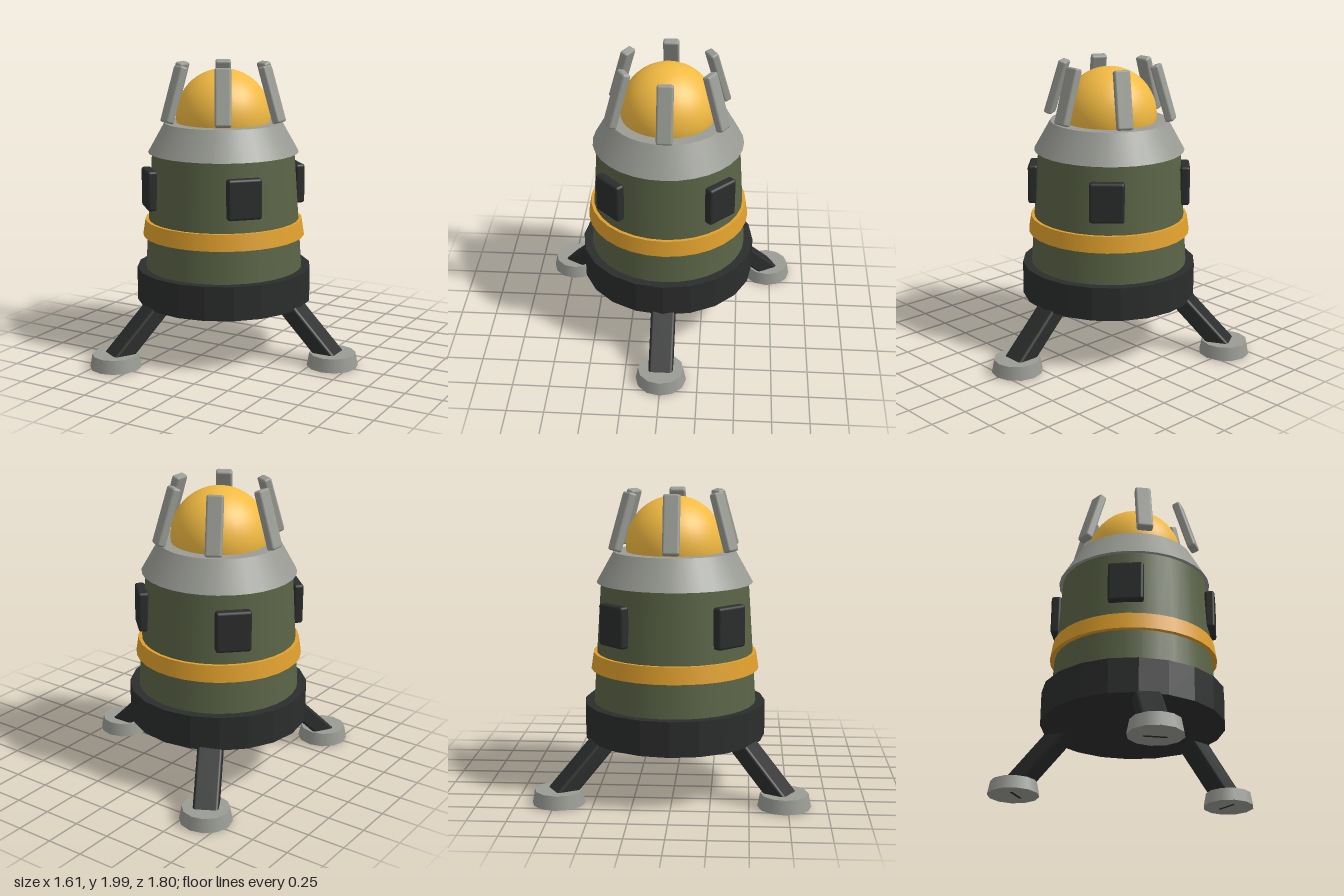
import * as THREE from 'three';
import { RoundedBoxGeometry } from 'three/addons/geometries/RoundedBoxGeometry.js';

const paint = (color, flatShading = false) => new THREE.MeshStandardMaterial({ color, flatShading });
const dark = paint(0x2b2d2c);
const darkFaceted = paint(0x2b2d2c, true);
const green = paint(0x5a6446);
const gold = paint(0xe0a02c);
const amber = paint(0xf2ba42);
const grey = paint(0x999b94);

function add(parent, name, geometry, material, x = 0, y = 0, z = 0) {
  const mesh = new THREE.Mesh(geometry, material);
  mesh.name = name;
  mesh.position.set(x, y, z);
  parent.add(mesh);
  return mesh;
}

// Truncated cone between two heights
function drum(parent, name, rBottom, rTop, y0, y1, sides, material, x = 0) {
  return add(parent, name, new THREE.CylinderGeometry(rTop, rBottom, y1 - y0, sides), material, x, (y0 + y1) / 2);
}

// Repeats a part, built along +x, evenly round the vertical axis
function around(parent, name, count, start, build) {
  for (let i = 0; i < count; i++) {
    const arm = new THREE.Group();
    arm.name = name;
    arm.rotation.y = start + (i * Math.PI * 2) / count;
    build(arm);
    parent.add(arm);
  }
}

export function createModel() {
  const model = new THREE.Group();
  model.name = 'landerPod';

  // The hull axis sits off centre so the three feet balance the footprint
  const pod = new THREE.Group();
  pod.name = 'pod';
  pod.position.x = -0.21;
  model.add(pod);

  // Stacked hull
  drum(pod, 'base', 0.6, 0.6, 0.38, 0.61, 20, darkFaceted);
  drum(pod, 'hull', 0.545, 0.485, 0.5, 1.41, 32, green);
  drum(pod, 'band', 0.555, 0.538, 0.835, 0.945, 32, gold);
  drum(pod, 'collar', 0.512, 0.4, 1.405, 1.605, 32, grey);
  add(pod, 'dome', new THREE.SphereGeometry(0.32, 32, 16, 0, Math.PI * 2, 0, Math.PI * 0.6), amber, 0, 1.645);

  // Guard fins leaning in round the dome
  const finGeometry = new RoundedBoxGeometry(0.058, 0.385, 0.108, 2, 0.015);
  around(pod, 'guardFin', 6, 0, (arm) => {
    add(arm, 'fin', finGeometry, grey, 0.373, 1.81).rotation.z = 0.3;
  });

  // Side panels on the diagonals
  const panelGeometry = new RoundedBoxGeometry(0.068, 0.27, 0.23, 2, 0.018);
  around(pod, 'sidePanel', 4, Math.PI / 4, (arm) => {
    add(arm, 'panel', panelGeometry, dark, 0.516, 1.17);
  });

  // Splayed struts with foot pads
  const strutGeometry = new RoundedBoxGeometry(0.6, 0.115, 0.166, 2, 0.02);
  around(pod, 'leg', 3, 0, (arm) => {
    add(arm, 'strut', strutGeometry, dark, 0.648, 0.256).rotation.z = -Math.PI / 4;
    drum(arm, 'footPad', 0.172, 0.155, 0.015, 0.105, 12, grey, 0.838);
  });

  return model;
}
